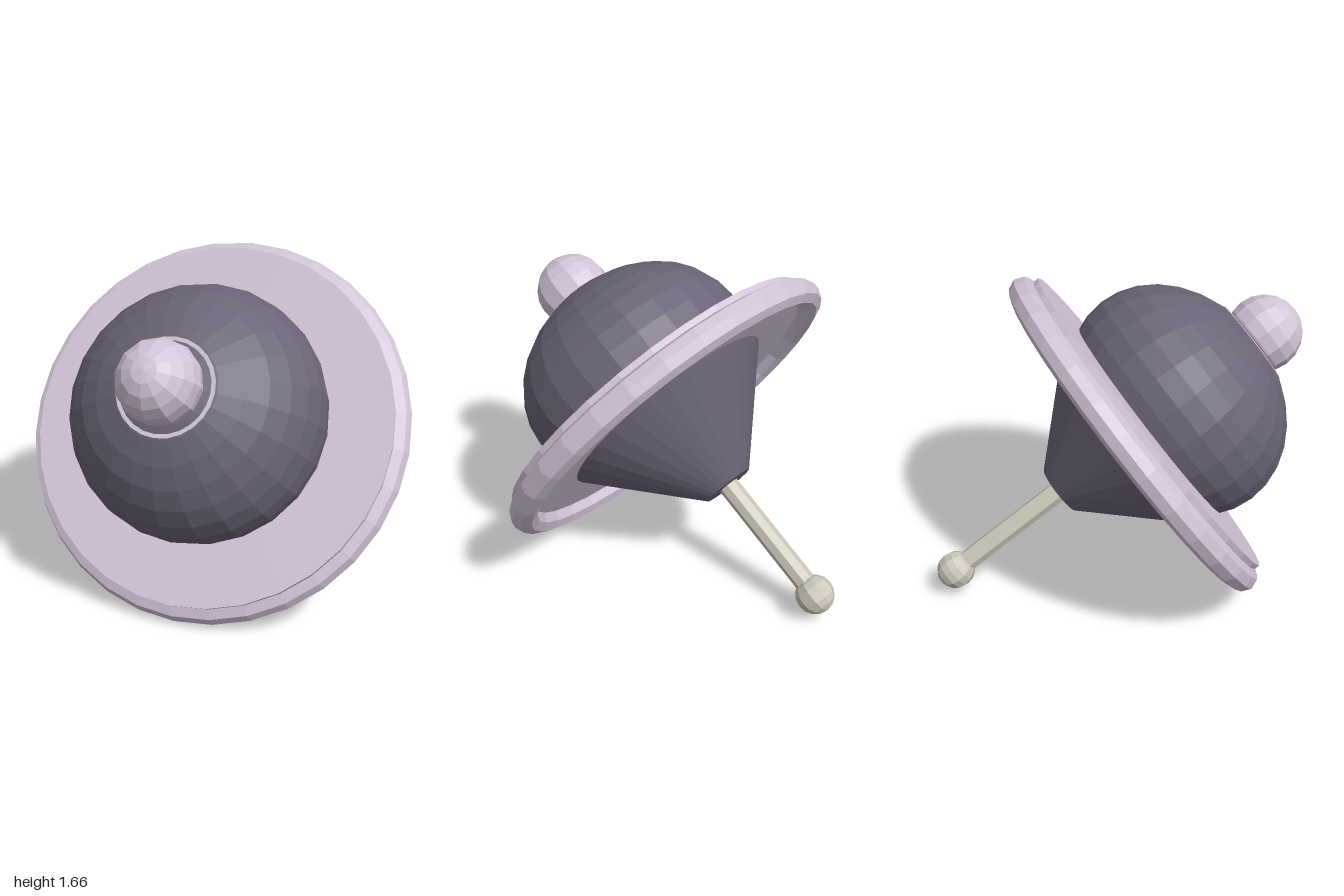
import * as THREE from 'three';

const pink = new THREE.MeshStandardMaterial({ name: 'pale lilac', color: 0xd2c4d8, flatShading: true });
const dark = new THREE.MeshStandardMaterial({ name: 'dark slate violet', color: 0x6a6476, flatShading: true });
const metal = new THREE.MeshStandardMaterial({ name: 'warm grey', color: 0xcbc6b8, flatShading: true });

export function createModel() {
  const model = new THREE.Group();
  model.name = 'spinningTop';

  // All parts stand on one axis, which is then tilted forward
  const top = new THREE.Group();
  top.name = 'tiltedTop';
  top.position.set(0, 0.832, 0.1);
  top.rotation.x = THREE.MathUtils.degToRad(55);
  model.add(top);

  const add = (name, geometry, material, y) => {
    const mesh = new THREE.Mesh(geometry, material);
    mesh.name = name;
    mesh.position.y = y;
    top.add(mesh);
    return mesh;
  };
  // Cylinder or cone between two heights
  const drum = (name, rTop, rBottom, y0, y1, sides, material) =>
    add(name, new THREE.CylinderGeometry(rTop, rBottom, y1 - y0, sides), material, (y0 + y1) / 2);

  // Disc with its octagonal-section rim
  drum('disc', 0.93, 0.93, 0, 0.1, 32, pink);
  add('rim', new THREE.TorusGeometry(0.93, 0.07, 8, 32).rotateX(Math.PI / 2), pink, 0);

  // Flattened dome above, cone below
  add('dome', new THREE.SphereGeometry(0.64, 24, 16).scale(1, 0.81, 1), dark, 0.274);
  drum('lowerCone', 0.6, 0.135, -0.5, 0, 32, dark);

  // Handle
  drum('handleCollar', 0.235, 0.235, 0.66, 0.76, 24, pink);
  add('handleKnob', new THREE.SphereGeometry(0.197, 12, 10), pink, 0.84);

  // Spindle and ball foot
  drum('spindle', 0.055, 0.055, -1.2, -0.45, 8, metal);
  add('ballFoot', new THREE.SphereGeometry(0.1, 10, 8), metal, -1.203);

  return model;
}
